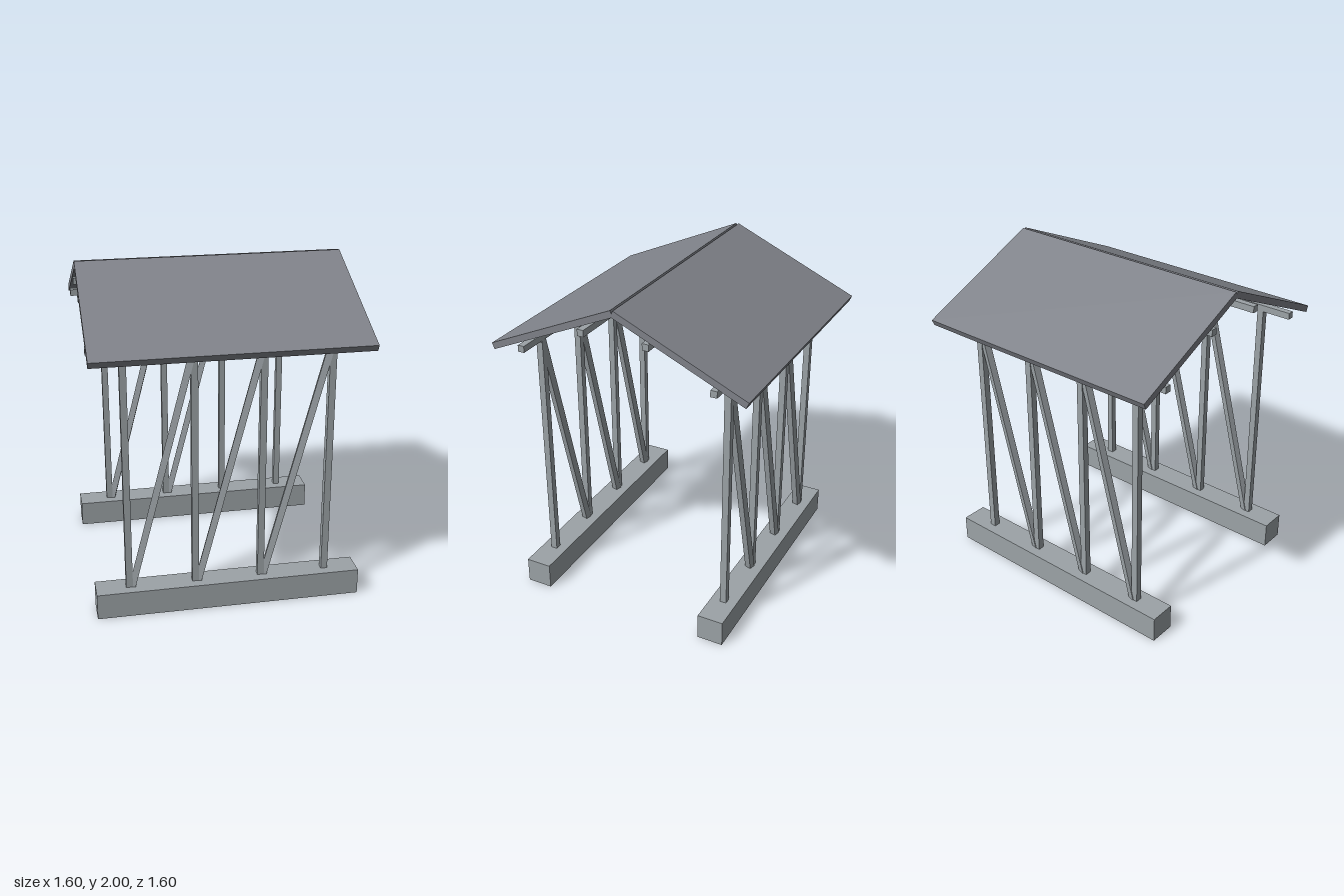
import * as THREE from 'three';

export function createModel() {
  const model = new THREE.Group();
  model.name = 'openShelter';

  const frameGrey = new THREE.MeshStandardMaterial({ color: 0x9ca3a7 });
  frameGrey.name = 'frame grey';
  const roofGrey = new THREE.MeshStandardMaterial({ color: 0x80838a });
  roofGrey.name = 'roof grey';

  function box(name, size, position, material = frameGrey) {
    const mesh = new THREE.Mesh(new THREE.BoxGeometry(...size), material);
    mesh.name = name;
    mesh.position.set(...position);
    model.add(mesh);
    return mesh;
  }

  const bar = 0.04; // square section of all timbers
  const postX = [-0.6, -0.2, 0.2, 0.6];
  const zAxis = new THREE.Vector3(0, 0, 1);

  for (const side of [1, -1]) {
    const z = 0.6 * side;

    // Foundation beam
    box('foundationBeam', [1.6, 0.16, 0.16], [0, 0.08, z]);

    // Posts, with a leaning brace between each pair
    postX.forEach((x, i) => {
      box('post', [bar, 1.55, bar], [x, 0.855, z]);
      if (i === postX.length - 1) return;
      const top = new THREE.Vector3(postX[i + 1], 1.63, z);
      const foot = new THREE.Vector3(x, 0.08, z);
      const run = foot.clone().sub(top);
      const middle = top.clone().add(foot).multiplyScalar(0.5);
      const brace = box('brace', [bar, bar, run.length()], middle.toArray());
      brace.quaternion.setFromUnitVectors(zAxis, run.normalize());
    });

    // Purlins under the roof
    box('eavePurlin', [1.6, bar, bar], [0, 1.65, z]);
    box('upperPurlin', [1.6, bar, bar], [0, 1.83, 0.2 * side]);

    // Sloping roof panel
    const panel = box('roofPanel', [1.6, bar, 0.867], [0, 1.805, 0.396 * side], roofGrey);
    panel.rotation.x = side * THREE.MathUtils.degToRad(24);
  }

  return model;
}
